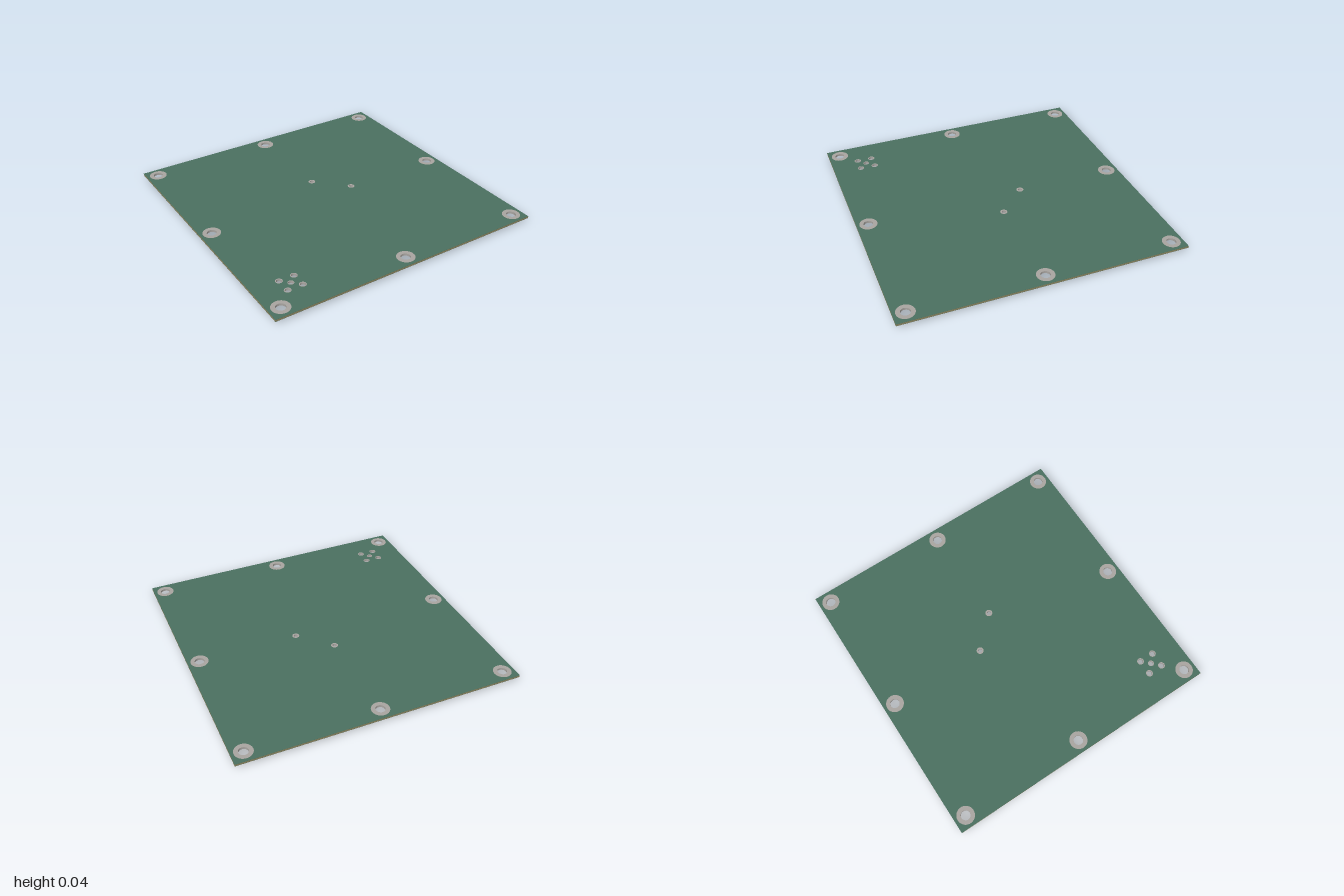
import * as THREE from 'three';

const mat = (color) => new THREE.MeshStandardMaterial({ color });
const MASK = mat(0x4a7060), CORE = mat(0x8a8560), METAL = mat(0xa8a4a0);
const BODY = mat(0x333333);
const BOTTOM = 0.021, TOP = 0.036;

// plated holes: x, z, hole radius, pad radius
const holes = [];
for (const x of [-0.917, 0, 0.917])
  for (const z of [-0.917, 0, 0.917])
    if (x || z) holes.push(['mountingHole', x, z, 0.033, 0.062]);
holes.push(['feedHole', 0, -0.21, 0.014, 0.025], ['feedHole', 0.208, 0, 0.014, 0.025]);
holes.push(['connectorCentreHole', -0.75, 0.75, 0.016, 0.021]);
for (const dx of [-0.053, 0.053])
  for (const dz of [-0.053, 0.053])
    holes.push(['connectorGroundHole', -0.75 + dx, 0.75 + dz, 0.018, 0.024]);

const circle = (x, y, r) => new THREE.Path().absarc(x, y, r, 0, Math.PI * 2, true);

// flat layer lying in the xz plane between two heights
function layer(shape, y0, y1, material, name) {
  const geo = new THREE.ExtrudeGeometry(shape, { depth: y1 - y0, bevelEnabled: false, curveSegments: 32 });
  geo.rotateX(-Math.PI / 2);
  geo.translate(0, y0, 0);
  const mesh = new THREE.Mesh(geo, material);
  mesh.name = name;
  return mesh;
}

function boardShape() {
  const s = new THREE.Shape([[-1, -1], [1, -1], [1, 1], [-1, 1]].map(([x, y]) => new THREE.Vector2(x, y)));
  for (const [, x, z, , r] of holes) s.holes.push(circle(x, -z, r));
  return s;
}

// box hanging under the board, turned about the vertical axis
function block(name, x, z, w, d, y0, y1, material, turn = -Math.PI / 4) {
  const mesh = new THREE.Mesh(new THREE.BoxGeometry(w, y1 - y0, d), material);
  mesh.position.set(x, (y0 + y1) / 2, z);
  mesh.rotation.y = turn;
  mesh.name = name;
  return mesh;
}

// small surface-mount part: dark body with a metal cap on each end
function chipPart(name, x, z, length, width, y0, turn) {
  const g = new THREE.Group();
  g.name = name;
  const h = BOTTOM - y0, cap = length * 0.22;
  g.add(block('body', 0, 0, length - 2 * cap, width * 0.96, y0 + h * 0.04, BOTTOM, BODY, 0));
  for (const s of [-1, 1])
    g.add(block('endCap', s * (length - cap) / 2, 0, cap, width, y0, BOTTOM, METAL, 0));
  g.position.set(x, 0, z);
  g.rotation.y = turn;
  return g;
}

export function createModel() {
  const model = new THREE.Group();
  model.name = 'circuitBoard';

  // laminate core between two solder mask skins
  const shape = boardShape();
  model.add(
    layer(shape, BOTTOM + 0.001, TOP - 0.001, CORE, 'boardCore'),
    layer(shape, TOP - 0.001, TOP, MASK, 'topMask'),
    layer(shape, BOTTOM, BOTTOM + 0.001, MASK, 'bottomMask'),
  );

  // plated rings lining every hole
  for (const [name, x, z, r, pad] of holes) {
    const ring = new THREE.Shape().absarc(x, -z, pad, 0, Math.PI * 2, false);
    ring.holes.push(circle(x, -z, r));
    model.add(layer(ring, BOTTOM - 0.0005, TOP + 0.0005, METAL, name + 'Ring'));
  }

  // coupler land under the board, set on the diagonal
  const place = (u, v) => [-0.275 + (u - v) * Math.SQRT1_2, 0.275 + (u + v) * Math.SQRT1_2];
  model.add(block('couplerPad', ...place(0, 0), 0.085, 0.18, BOTTOM - 0.001, BOTTOM, METAL));
  for (const u of [-0.057, 0.057])
    for (const v of [-0.13, 0.13])
      model.add(block('couplerCornerPad', ...place(u, v), 0.025, 0.035, BOTTOM - 0.001, BOTTOM, METAL));

  // row of small pads beyond the coupler
  for (const u of [-0.035, 0, 0.035])
    model.add(block('outputPad', ...place(u, 0.297), 0.016, 0.016, BOTTOM - 0.001, BOTTOM, METAL));

  // mirrored pairs of surface-mount parts about the diagonal
  const pair = (name, x, z, ...rest) => {
    model.add(chipPart(name, x, z, ...rest, -Math.PI / 4), chipPart(name, -z, -x, ...rest, -Math.PI / 4));
  };
  pair('feedCapacitor', 0.12, 0.06, 0.03, 0.016, 0);
  pair('loadResistor', -0.48, 0.33, 0.034, 0.018, 0.01);

  return model;
}
